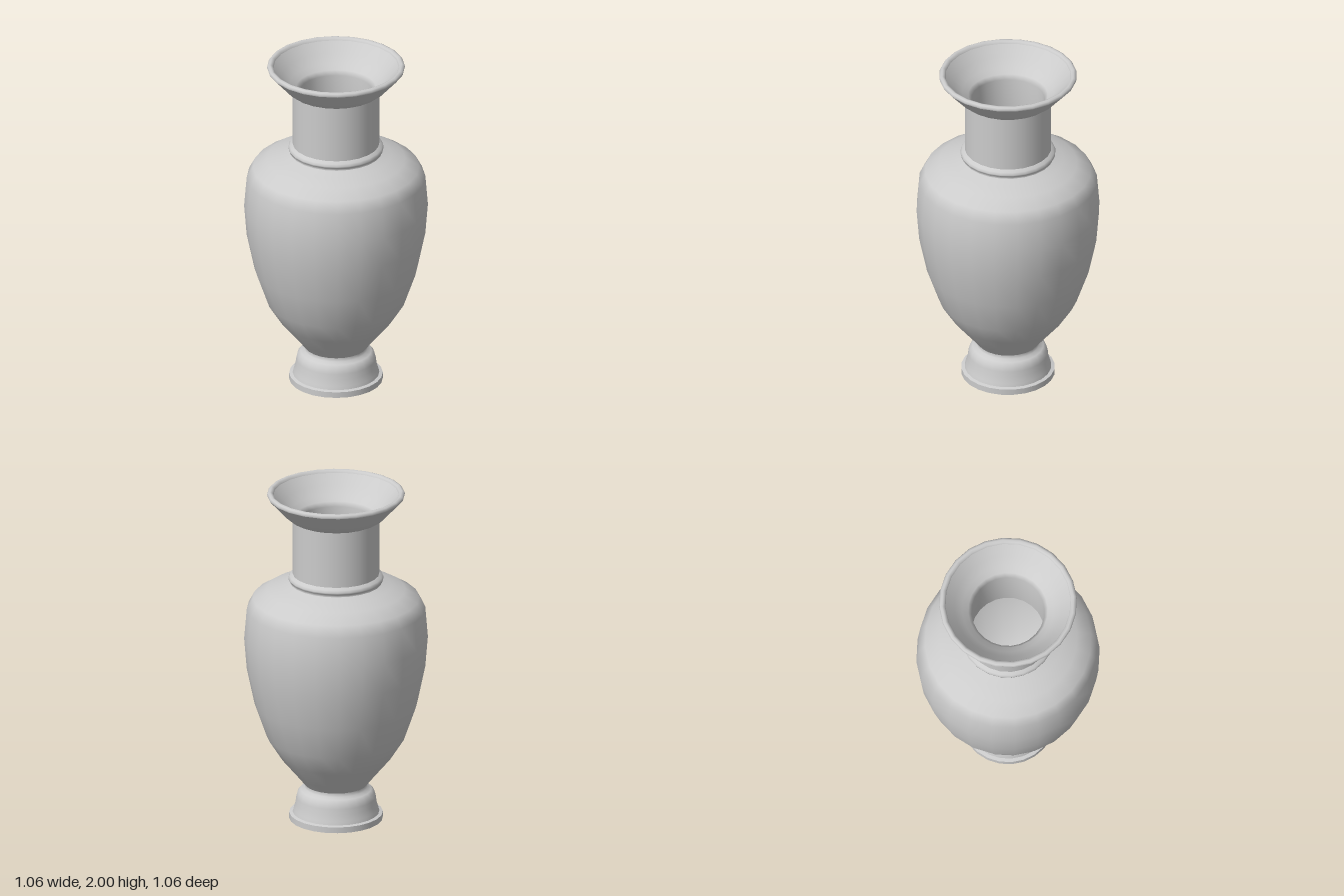
import * as THREE from 'three';

const SIDES = 24;
const material = new THREE.MeshStandardMaterial({ color: 0xcccccc });

// Revolve a [radius, height] profile; rising profiles face outward
function turned(name, profile) {
  const points = profile.map(([r, y]) => new THREE.Vector2(r, y));
  const mesh = new THREE.Mesh(new THREE.LatheGeometry(points, SIDES), material);
  mesh.name = name;
  return mesh;
}

export function createModel() {
  const vase = new THREE.Group();
  vase.name = 'vase';

  // Foot: flat underside, plinth edge and bell-shaped pedestal
  vase.add(
    turned('underside', [[0, 0], [0.27, 0]]),
    turned('plinthEdge', [[0.27, 0], [0.27, 0.035]]),
    turned('plinthTop', [[0.27, 0.035], [0.25, 0.04]]),
    turned('pedestal', [
      [0.25, 0.04], [0.245, 0.06], [0.234, 0.095], [0.23, 0.13],
      [0.222, 0.16], [0.205, 0.178], [0.18, 0.188], [0.18, 0.21],
    ]),
  );

  // Body: swelling belly and rounded shoulder
  vase.add(turned('body', [
    [0.18, 0.21], [0.22, 0.26], [0.32, 0.38], [0.4, 0.505], [0.47, 0.705],
    [0.515, 0.92], [0.53, 1.105], [0.515, 1.285], [0.48, 1.35],
    [0.4, 1.4], [0.32, 1.427], [0.265, 1.447],
  ]));

  // Collar ring where the neck meets the shoulder
  vase.add(turned('collar', [
    [0.265, 1.447], [0.262, 1.457], [0.273, 1.464], [0.275, 1.475],
    [0.268, 1.488], [0.25, 1.5],
  ]));

  // Neck and flared mouth
  vase.add(
    turned('neck', [[0.25, 1.5], [0.25, 1.835]]),
    turned('mouth', [
      [0.25, 1.835], [0.27, 1.845], [0.297, 1.867], [0.345, 1.92], [0.395, 1.975],
    ]),
    turned('lip', [
      [0.395, 1.975], [0.398, 1.985], [0.392, 1.995], [0.38, 2],
      [0.367, 1.995], [0.361, 1.982],
    ]),
  );

  // Hollow inside, from the lip down to the floor
  vase.add(turned('interior', [
    [0.361, 1.982], [0.31, 1.925], [0.265, 1.88], [0.23, 1.855], [0.21, 1.83],
    [0.21, 1.49], [0.25, 1.41], [0.38, 1.365], [0.45, 1.32], [0.475, 1.27],
    [0.49, 1.105], [0.475, 0.92], [0.43, 0.72], [0.36, 0.53],
    [0.28, 0.4], [0.17, 0.28], [0.09, 0.25], [0, 0.24],
  ]));

  return vase;
}
